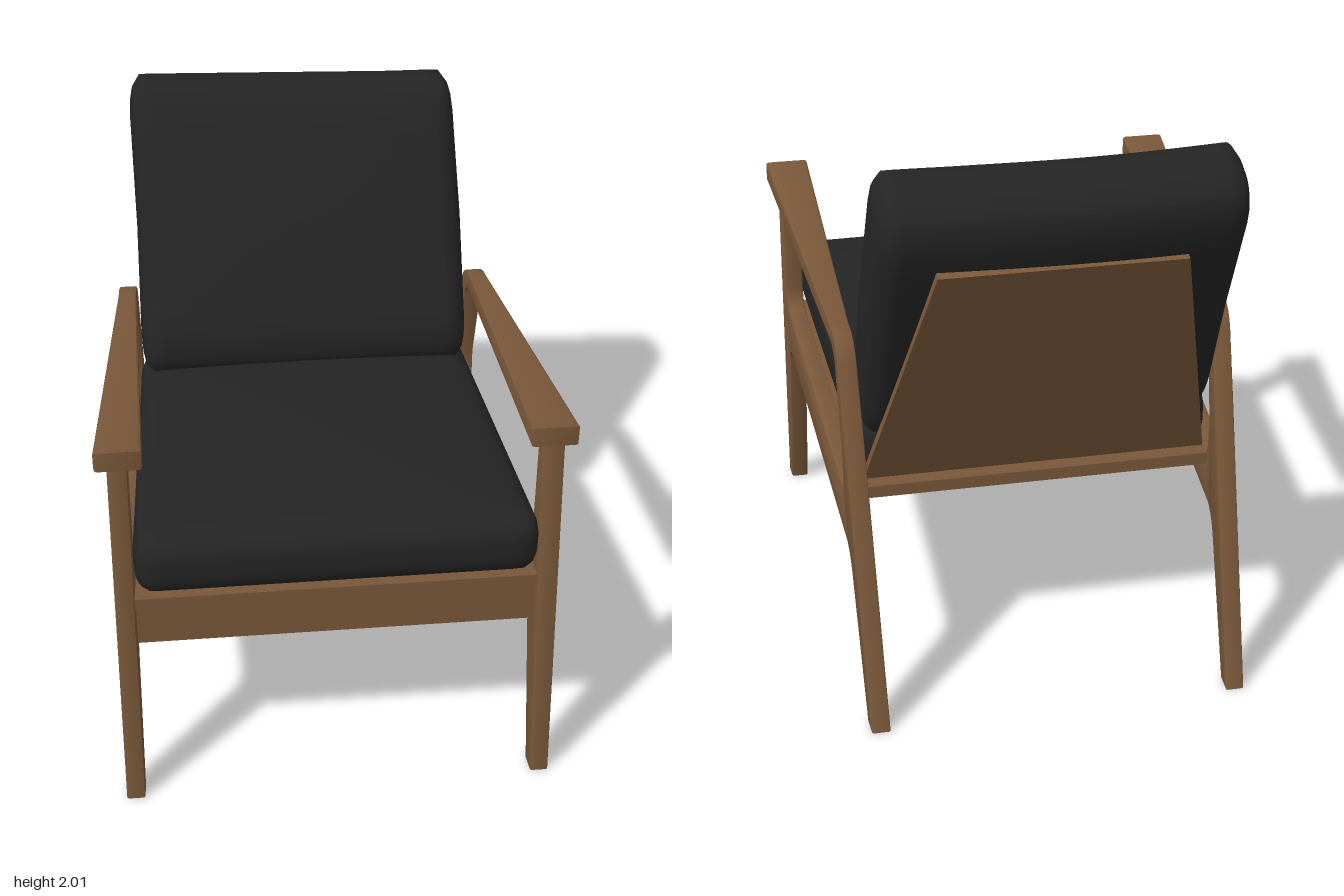
import * as THREE from 'three';
import { mergeVertices, toCreasedNormals } from 'three/addons/utils/BufferGeometryUtils.js';

// Move every vertex of a geometry by a rule
function warp(geo, rule) {
  const pos = geo.attributes.position, p = new THREE.Vector3();
  for (let i = 0; i < pos.count; i++) {
    p.fromBufferAttribute(pos, i);
    rule(p);
    pos.setXYZ(i, p.x, p.y, p.z);
  }
  geo.computeVertexNormals();
  return geo;
}

// Extrude a side profile drawn in (z, y), centred across x
function profile(shape, thickness, bevelX, bevel) {
  const geo = new THREE.ExtrudeGeometry(shape, {
    depth: thickness - 2 * bevelX, bevelThickness: bevelX, bevelSize: bevel,
    bevelOffset: -bevel, bevelSegments: 2, curveSegments: 8,
  });
  geo.translate(0, 0, bevelX - thickness / 2);
  return geo.rotateY(-Math.PI / 2);
}

// Smooth block with its own rounding radius on each axis
function cushion(size, radius, rule) {
  const box = new THREE.BoxGeometry(size.x, size.y, size.z, 28, 14, 28);
  box.deleteAttribute('uv');
  box.deleteAttribute('normal');
  const half = size.clone().multiplyScalar(0.5), limit = half.clone().sub(radius);
  const low = limit.clone().negate();
  return warp(mergeVertices(box), (p) => {
    const inner = p.clone().clamp(low, limit);
    const d = p.clone().sub(inner).divide(radius).normalize().multiply(radius);
    p.copy(inner).add(d);
    rule(p, p.x / half.x, p.y / half.y, p.z / half.z);
  });
}

const innerEdge = (z) => 0.651 + 0.049 * z;

export function createModel() {
  const model = new THREE.Group();
  const wood = new THREE.MeshStandardMaterial({ color: 0x7a583a });
  wood.name = 'walnut wood';
  const fabric = new THREE.MeshStandardMaterial({ color: 0x242424 });
  fabric.name = 'black upholstery';

  const add = (name, geo, mat, parent = model) => {
    const mesh = new THREE.Mesh(geo, mat);
    mesh.name = name;
    parent.add(mesh);
    return mesh;
  };

  // Side frame: front leg, rail and back leg curving into the arm
  const frame = new THREE.Shape();
  frame.moveTo(0.96, 0);
  frame.lineTo(0.83, 1.395);
  frame.lineTo(0.745, 1.385);
  frame.lineTo(0.75, 0.95);
  frame.quadraticCurveTo(0.75, 0.868, 0.67, 0.858);
  frame.lineTo(-0.47, 0.742);
  frame.quadraticCurveTo(-0.505, 0.738, -0.51, 0.78);
  frame.lineTo(-0.515, 0.87);
  frame.lineTo(-0.435, 1.19);
  frame.quadraticCurveTo(-0.42, 1.24, -0.36, 1.246);
  frame.lineTo(-0.34, 1.248);
  frame.lineTo(-0.34, 1.313);
  frame.lineTo(-0.39, 1.308);
  frame.quadraticCurveTo(-0.47, 1.3, -0.5, 1.22);
  frame.lineTo(-0.59, 0.98);
  frame.lineTo(-0.93, 0);
  frame.lineTo(-0.855, 0);
  frame.lineTo(-0.64, 0.465);
  frame.quadraticCurveTo(-0.6, 0.55, -0.54, 0.556);
  frame.lineTo(0.67, 0.681);
  frame.quadraticCurveTo(0.745, 0.687, 0.76, 0.61);
  frame.lineTo(0.89, 0);
  frame.closePath();

  // Armrest seen from the side
  const arm = new THREE.Shape();
  arm.moveTo(0.85, 1.372);
  arm.lineTo(0.85, 1.446);
  arm.lineTo(-0.37, 1.31);
  arm.lineTo(-0.37, 1.245);
  arm.closePath();

  for (const [side, s] of [['left', 1], ['right', -1]]) {
    // frames converge towards the back
    const frameGeo = warp(profile(frame, 0.066, 0.006, 0.006), (p) => {
      p.x += s * (0.684 + 0.049 * p.z);
    });
    add(side + 'SideFrame', toCreasedNormals(frameGeo, 0.5), wood);
    // arms widen towards the front
    const armGeo = warp(profile(arm, 1, 0.06, 0.01), (p) => {
      const t = (p.z + 0.37) / 1.22;
      p.x = p.x * (0.066 + 0.094 * t) + s * (0.666 + 0.054 * t);
    });
    add(side + 'Armrest', toCreasedNormals(armGeo, 0.5), wood);
  }

  // Front rail between the legs
  const rail = new THREE.BoxGeometry(1.38, 0.15, 0.06);
  rail.translate(0, 0.71, 0.82);
  add('frontRail', rail, wood);

  // Sloping seat board, narrower at the back
  const board = new THREE.BoxGeometry(2, 0.045, 1.37);
  board.translate(0, 0, 0.175);
  add('seatBoard', toCreasedNormals(warp(board, (p) => {
    p.x *= innerEdge(p.z);
    p.y += 0.742 + 0.083 * p.z + (p.z > 0 ? 0 : 0.018);
  }), 0.3), wood);

  // Seat cushion, sloped and slightly crowned
  add('seatCushion', cushion(
    new THREE.Vector3(2, 0.25, 1.41), new THREE.Vector3(0.1, 0.1, 0.1),
    (p, a, b, c) => {
      p.z += 0.205;
      p.x *= innerEdge(p.z);
      if (b > 0) p.y += b * 0.035 * (1 - a * a) * (1 - c * c);
      p.y += 0.925 + 0.083 * (p.z - 0.2);
    }), fabric);

  // Reclined backrest: local y runs up the back, local z faces forward
  const backrest = new THREE.Group();
  backrest.name = 'backrest';
  backrest.rotation.x = -0.423;
  model.add(backrest);

  const panel = new THREE.Shape();
  panel.moveTo(-0.615, 0.89);
  panel.lineTo(0.615, 0.89);
  panel.lineTo(0.41, 1.92);
  panel.lineTo(-0.41, 1.92);
  panel.closePath();
  const panelGeo = new THREE.ExtrudeGeometry(panel, { depth: 0.03, bevelEnabled: false });
  panelGeo.translate(0, 0, -0.128);
  add('backPanel', panelGeo, wood, backrest);

  // Back cushion, softly uneven along its top
  const back = add('backCushion', cushion(
    new THREE.Vector3(1.25, 1.14, 0.34), new THREE.Vector3(0.05, 0.16, 0.15),
    (p, a, b, c) => {
      const top = Math.max(0, b);
      p.x = p.x * (1 - 0.03 * (b + 1) / 2) - 0.015 * top;
      p.y -= top * (0.018 * (a + 1) - 0.012 * Math.max(0, a - 0.6));
      p.z += 0.012 * c * (1 - a * a) * (1 - b * b);
      p.z -= top * top * 0.015 * Math.cos(2.2 * a + 0.6);
    }), fabric, backrest);
  back.position.set(0, 1.585, 0.07);

  return model;
}
